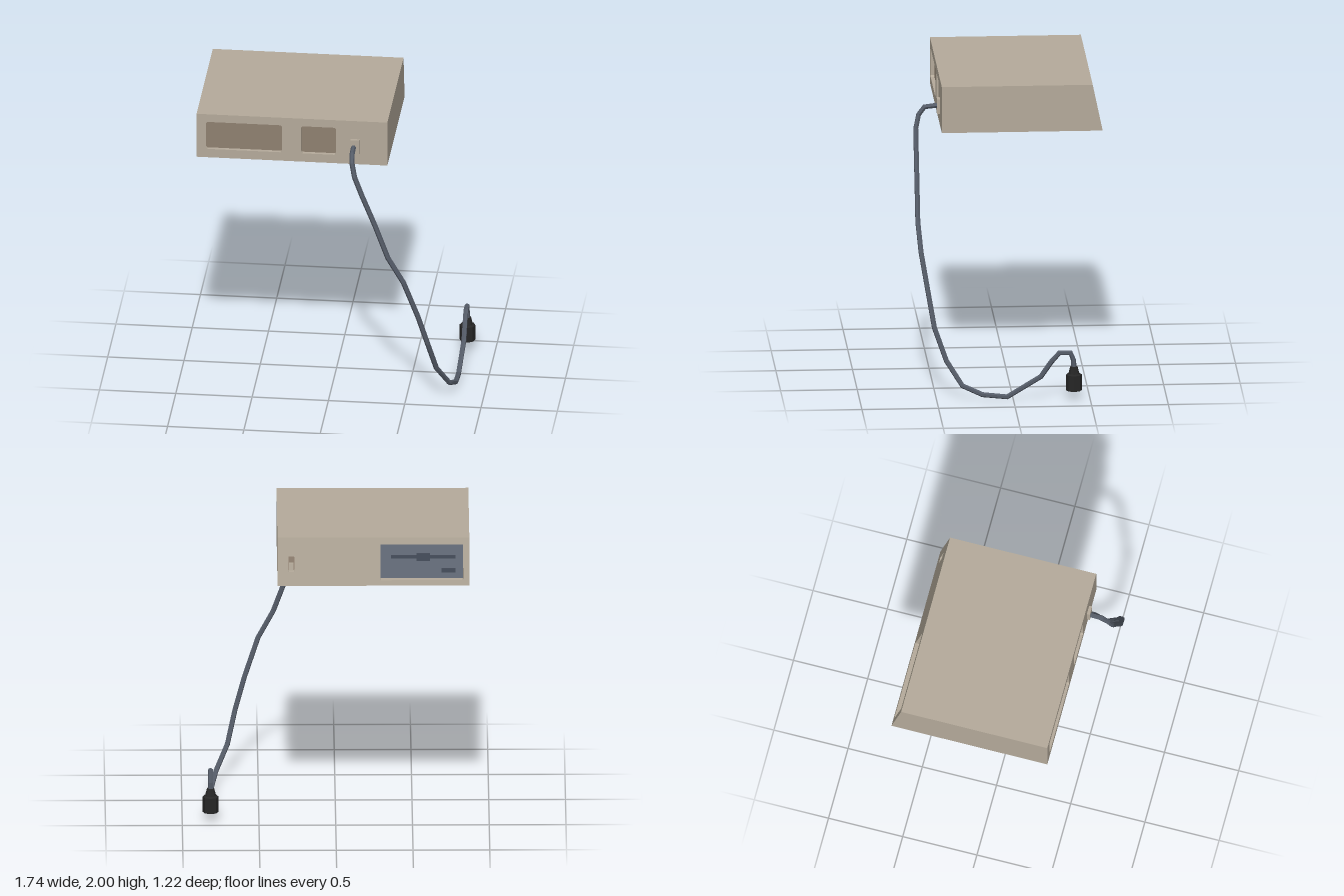
import * as THREE from 'three';

const X0 = -0.87, X1 = 0.38, Y0 = 1.69, Y1 = 2.0, BACK = 0.44, FRONT = -0.61;
const BAY_DEPTH = 0.05, VENT_DEPTH = 0.03;
const material = (name, color, extra = {}) => {
  const m = new THREE.MeshStandardMaterial({ color, ...extra });
  m.name = name;
  return m;
};

// z of the sloping fascia at height y
const slope = (y) => FRONT + ((y - Y0) * 0.065) / (Y1 - Y0);

// Lean a geometry so that its z = 0 plane lies on the sloping fascia
function lean(geometry) {
  const p = geometry.attributes.position;
  for (let i = 0; i < p.count; i++) p.setZ(i, p.getZ(i) + slope(p.getY(i)));
  geometry.computeVertexNormals();
  return geometry;
}

// Rectangle with cut corners
function outline(target, [x0, x1, y0, y1], c) {
  return target.setFromPoints([
    [x0 + c, y0], [x1 - c, y0], [x1, y0 + c], [x1, y1 - c],
    [x1 - c, y1], [x0 + c, y1], [x0, y1 - c], [x0, y0 + c],
  ].map(([x, y]) => new THREE.Vector2(x, y)));
}

// Case wall with openings
function wall(openings, depth, cut) {
  const shape = new THREE.Shape([
    new THREE.Vector2(X0, Y0), new THREE.Vector2(X1, Y0),
    new THREE.Vector2(X1, Y1), new THREE.Vector2(X0, Y1),
  ]);
  openings.forEach((o) => shape.holes.push(outline(new THREE.Path(), o, cut)));
  return new THREE.ExtrudeGeometry(shape, { depth, bevelEnabled: false });
}

// Box given by its limits
function block([x0, x1, y0, y1], z0, z1) {
  return new THREE.BoxGeometry(x1 - x0, y1 - y0, z1 - z0)
    .translate((x0 + x1) / 2, (y0 + y1) / 2, (z0 + z1) / 2);
}

// Straight-sided path whose rings sit on the mitre of each corner
class Polyline extends THREE.Curve {
  constructor(points) {
    super();
    this.points = points;
  }
  getUtoTmapping(u) { return u; }
  getPoint(t, out = new THREE.Vector3()) {
    const n = this.points.length - 1;
    const i = Math.min(Math.floor(t * n + 1e-6), n - 1);
    return out.lerpVectors(this.points[i], this.points[i + 1], t * n - i);
  }
  getTangent(t, out = new THREE.Vector3()) {
    const p = this.points, n = p.length - 1, i = Math.round(t * n);
    out.set(0, 0, 0);
    if (i > 0) out.add(p[i].clone().sub(p[i - 1]).normalize());
    if (i < n) out.add(p[i + 1].clone().sub(p[i]).normalize());
    return out.normalize();
  }
}

export function createModel() {
  const group = new THREE.Group();
  const beige = material('case beige', 0xb4aa9a);
  const brown = material('vent brown', 0x8f8070);
  const grey = material('drive grey', 0x646c79);
  const slate = material('slot slate', 0x424956);
  const cord = material('cord grey', 0x555c68, { flatShading: true });
  const black = material('plug black', 0x262626, { flatShading: true });
  const add = (name, geometry, mat) => {
    const mesh = new THREE.Mesh(geometry, mat);
    mesh.name = name;
    group.add(mesh);
  };

  // Case: a core between a vented wall and a sloping fascia
  const vents = [[-0.81, -0.31, 1.75, 1.945], [-0.185, 0.045, 1.75, 1.945]];
  const bay = [-0.83, -0.29, 1.725, 1.955];
  const switchHole = [0.27, 0.31, 1.78, 1.88];
  const core = block([X0, X1, Y0, Y1], -1, 1);
  const p = core.attributes.position;
  for (let i = 0; i < p.count; i++) {
    p.setZ(i, p.getZ(i) > 0 ? BACK - VENT_DEPTH : slope(p.getY(i)) + BAY_DEPTH);
  }
  core.computeVertexNormals();
  add('caseCore', core, beige);
  add('ventWall', wall(vents, VENT_DEPTH, 0.01).translate(0, 0, BACK - VENT_DEPTH), beige);
  add('fascia', lean(wall([bay, switchHole], BAY_DEPTH, 0.004)), beige);

  // Vent panels at the bottom of their recesses
  vents.forEach((v) =>
    add('ventPanel', block(v, BACK - VENT_DEPTH, BACK - VENT_DEPTH + 0.005), brown));

  // Disk drive in the bay: faceplate, slot, latch and button
  add('drivePlate', lean(block(bay, BAY_DEPTH - 0.008, BAY_DEPTH)), grey);
  add('driveSlot', lean(block([-0.78, -0.36, 1.853, 1.873], 0.036, 0.044)), slate);
  add('driveLatch', lean(block([-0.615, -0.525, 1.84, 1.886], 0.026, 0.044)), slate);
  add('driveButton', lean(block([-0.78, -0.69, 1.765, 1.79], 0.03, 0.044)), slate);

  // Power switch
  add('switchRocker', lean(block([0.276, 0.304, 1.785, 1.83], 0.015, BAY_DEPTH)), beige);
  add('switchBed', lean(block(switchHole, BAY_DEPTH - 0.015, BAY_DEPTH)), brown);

  // Cord socket
  add('cordSocket', block([0.14, 0.2, 1.77, 1.87], BACK - 0.01, 0.46), beige);

  // Power cord
  const path = [
    [0.16, 1.82, 0.45], [0.16, 1.81, 0.54], [0.163, 1.76, 0.578], [0.182, 1.67, 0.598],
    [0.23, 1.54, 0.598], [0.315, 1.33, 0.598], [0.4, 1.1, 0.598], [0.5, 0.92, 0.583],
    [0.59, 0.66, 0.54], [0.65, 0.45, 0.505], [0.7, 0.24, 0.43], [0.775, 0.09, 0.33],
    [0.802, 0.035, 0.2], [0.803, 0.018, 0.04], [0.815, 0.155, -0.18], [0.815, 0.25, -0.245],
    [0.815, 0.312, -0.3], [0.815, 0.312, -0.373], [0.815, 0.26, -0.393], [0.815, 0.2, -0.395],
  ].map((q) => new THREE.Vector3(...q));
  add('powerCord', new THREE.TubeGeometry(new Polyline(path), path.length - 1, 0.017, 6), cord);

  // Plug with tapered strain relief
  const profile = [[0, 0.06], [0.052, 0.06], [0.052, 0.165], [0.036, 0.172], [0.024, 0.22], [0, 0.22]]
    .map(([r, y]) => new THREE.Vector2(r, y));
  add('plug', new THREE.LatheGeometry(profile, 8).translate(0.815, 0, -0.395), black);

  return group;
}
